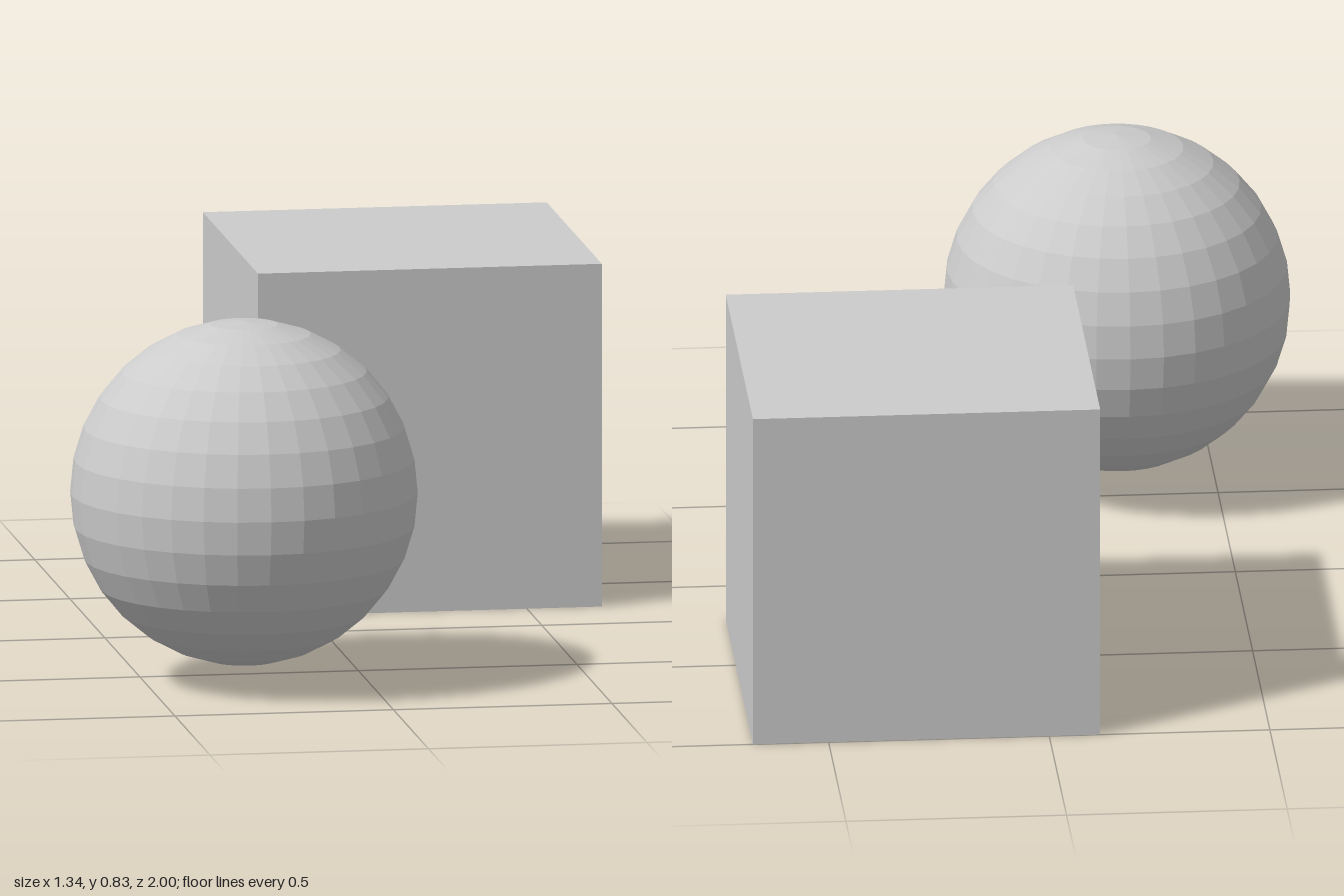
import * as THREE from 'three';

export function createModel() {
  const model = new THREE.Group();
  const material = new THREE.MeshStandardMaterial({ color: 0xcccccc, flatShading: true });

  const addPart = (name, geometry, x, y, z) => {
    const mesh = new THREE.Mesh(geometry, material);
    mesh.name = name;
    mesh.position.set(x, y, z);
    model.add(mesh);
  };

  // Cube standing on the ground at the back
  const size = 0.787;
  addPart('cube', new THREE.BoxGeometry(size, size, size), 0.278, size / 2, -1 + size / 2);

  // Faceted ball floating slightly above the ground at the front
  const radius = 0.393;
  addPart('sphere', new THREE.SphereGeometry(radius, 32, 16), -0.279, 0.438, 1 - radius);

  return model;
}
